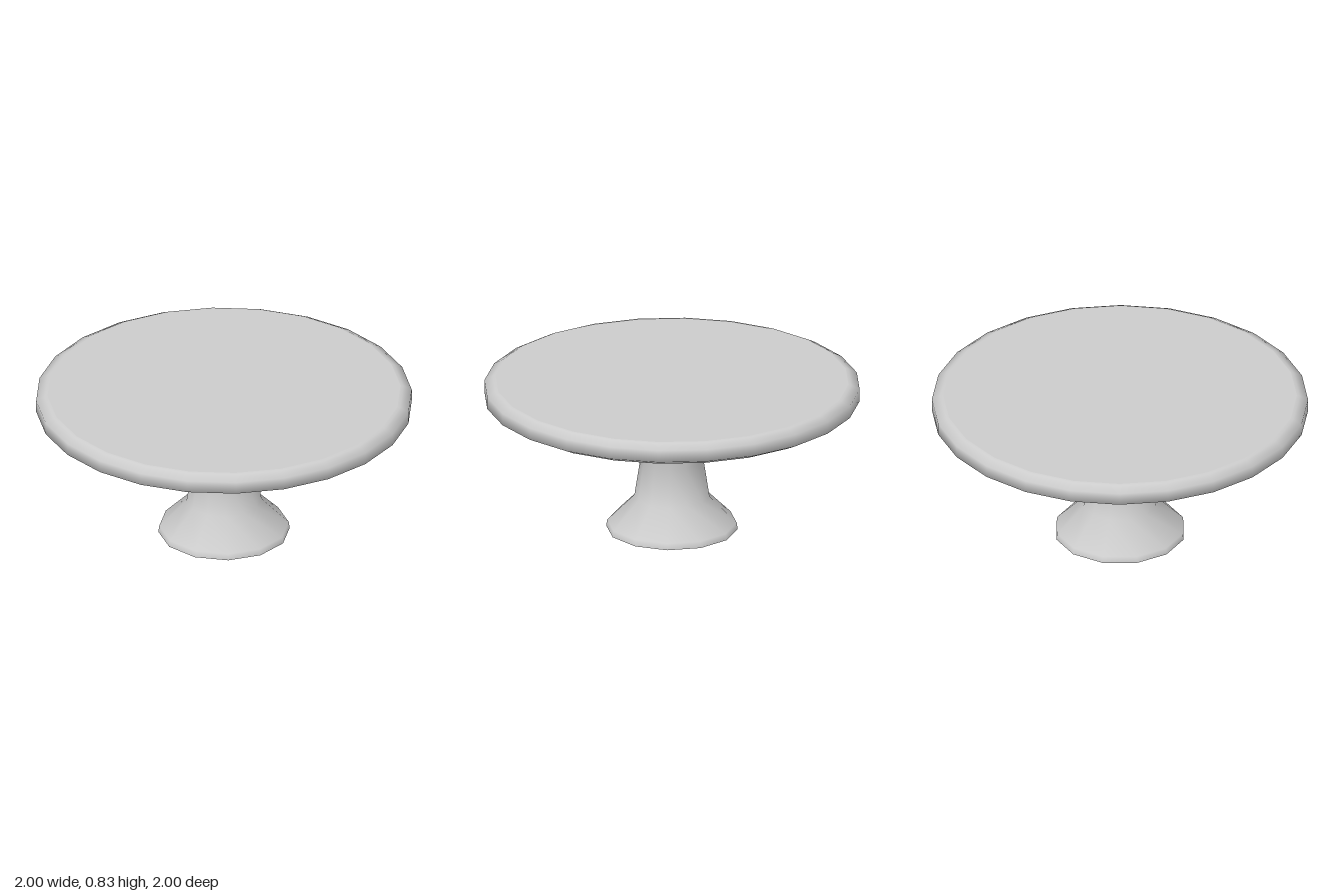
import * as THREE from 'three';

export function createModel() {
  const group = new THREE.Group();
  const grey = new THREE.MeshStandardMaterial({ color: 0xcccccc });
  grey.name = 'light grey';

  // Each profile runs from the bottom up as [radius, height]; parts meet at sharp creases
  function turned(name, sides, profile) {
    const points = profile.map(([r, y]) => new THREE.Vector2(r, y));
    const mesh = new THREE.Mesh(new THREE.LatheGeometry(points, sides), grey);
    mesh.name = name;
    group.add(mesh);
  }

  // Pedestal: flat base, waisted column and flared support
  turned('baseBottom', 12, [[0, 0], [0.35, 0]]);
  turned('pedestalColumn', 12, [
    [0.35, 0], [0.345, 0.035], [0.2, 0.18], [0.168, 0.39], [0.21, 0.59],
  ]);
  turned('pedestalFlare', 12, [[0.21, 0.59], [0.4, 0.71]]);

  // Round top with a bevelled edge
  turned('topUnderside', 24, [[0, 0.71], [0.93, 0.71]]);
  turned('topRim', 24, [
    [0.92, 0.71], [0.935, 0.71], [1, 0.742], [1, 0.808], [0.955, 0.832], [0.94, 0.835],
  ]);
  turned('topSurface', 24, [[0.94, 0.835], [0, 0.835]]);

  return group;
}
